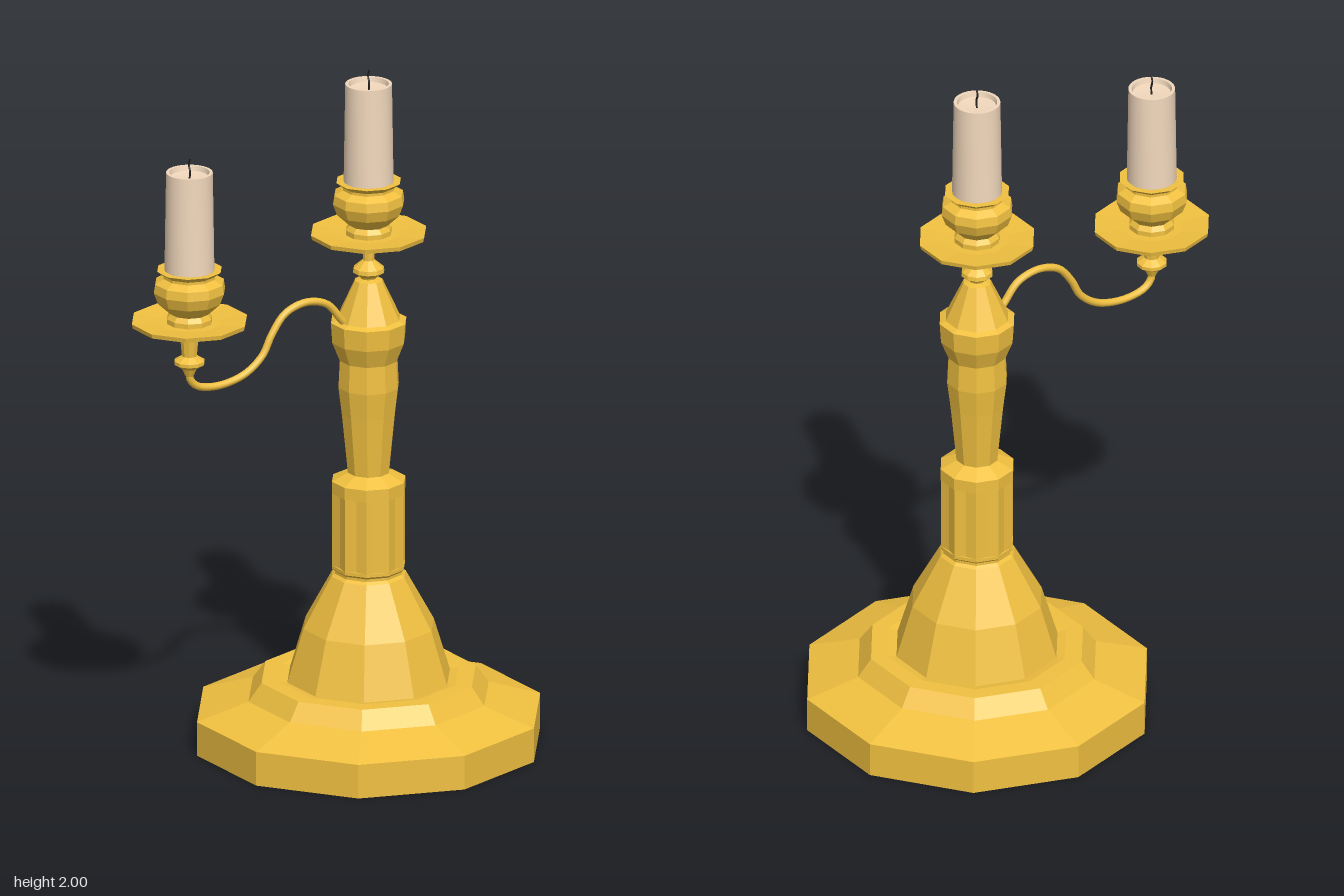
import * as THREE from 'three';
import { toCreasedNormals } from 'three/addons/utils/BufferGeometryUtils.js';

const brass = new THREE.MeshStandardMaterial({ color: 0xf0c040, flatShading: true });
const brassSmooth = new THREE.MeshStandardMaterial({ color: 0xf0c040 });
const wax = new THREE.MeshStandardMaterial({ color: 0xf2d8bc });
const char = new THREE.MeshStandardMaterial({ color: 0x222222 });

const SIDES = 10;
const MAIN_X = 0.14, ARM_X = -0.46;

function mesh(name, geometry, material) {
  const m = new THREE.Mesh(geometry, material);
  m.name = name;
  return m;
}

// Profile of [radius, height] pairs, bottom to top
function lathe(profile, sides = SIDES) {
  return new THREE.LatheGeometry(profile.map(([r, y]) => new THREE.Vector2(r, y)), sides);
}

// Column whose faces are each pressed in to a shallow flute
function flutedColumn(y0, y1, radius) {
  const shape = new THREE.Shape();
  for (let i = 0; i < SIDES * 4; i++) {
    const a = (i / (SIDES * 4)) * Math.PI * 2 + Math.PI / 2;
    const r = radius * [1, 0.935, 0.9, 0.935][i % 4];
    shape[i ? 'lineTo' : 'moveTo'](r * Math.cos(a), r * Math.sin(a));
  }
  shape.closePath();
  const g = new THREE.ExtrudeGeometry(shape, { depth: y1 - y0, bevelEnabled: false });
  return g.rotateX(-Math.PI / 2).translate(0, y0, 0);
}

// Drip pan, cup, candle and wick; y = 0 is the underside of the pan
function candleHolder(name) {
  const g = new THREE.Group();
  g.name = name;
  g.add(mesh('dripPan', lathe([
    [0, 0], [0.03, 0], [0.09, 0.018], [0.165, 0.042], [0.168, 0.055], [0.09, 0.048], [0, 0.048],
  ]), brass));
  g.add(mesh('candleCup', lathe([
    [0.066, 0.046], [0.066, 0.062], [0.056, 0.076], [0.092, 0.11], [0.104, 0.142],
    [0.1, 0.168], [0.075, 0.182], [0.075, 0.19], [0.094, 0.205], [0.074, 0.205], [0, 0.185],
  ]), brass));
  g.add(mesh('candle', toCreasedNormals(lathe([
    [0, 0.17], [0.071, 0.17], [0.066, 0.494], [0.057, 0.494], [0.054, 0.48], [0, 0.475],
  ], 32), 0.6), wax));
  const wickPath = new THREE.CatmullRomCurve3([
    new THREE.Vector3(0, 0.47, 0), new THREE.Vector3(0, 0.497, 0.003),
    new THREE.Vector3(0, 0.517, -0.003), new THREE.Vector3(0, 0.535, 0.003),
  ]);
  g.add(mesh('wick', new THREE.TubeGeometry(wickPath, 8, 0.003, 6), char));
  return g;
}

export function createModel() {
  const model = new THREE.Group();
  model.name = 'candelabrum';

  // Central stand
  const stand = new THREE.Group();
  stand.name = 'stand';
  stand.position.x = MAIN_X;
  stand.add(mesh('base', lathe([
    [0, 0], [0.5, 0], [0.5, 0.1], [0.35, 0.148], [0.312, 0.2], [0.262, 0.2], [0.237, 0.195],
    [0.19, 0.35], [0.108, 0.5], [0.098, 0.507], [0.098, 0.515], [0.106, 0.522], [0.106, 0.532], [0, 0.532],
  ]), brass));
  stand.add(mesh('flutedColumn', flutedColumn(0.53, 0.75, 0.106), brass));
  stand.add(mesh('columnCollar', lathe([
    [0, 0.747], [0.107, 0.747], [0.107, 0.782], [0.06, 0.805], [0, 0.805],
  ]), brass));
  stand.add(mesh('shaft', lathe([
    [0.06, 0.8], [0.078, 0.98], [0.088, 1.06], [0.084, 1.14], [0.106, 1.195],
    [0.11, 1.255], [0.092, 1.262], [0.04, 1.375], [0.022, 1.38], [0.024, 1.385],
    [0.046, 1.4], [0.044, 1.412], [0.017, 1.435], [0.017, 1.47],
  ]), brass));
  const top = candleHolder('centreHolder');
  top.position.y = 1.465;
  stand.add(top);
  model.add(stand);

  // Side holder on its short stem
  const side = new THREE.Group();
  side.name = 'sideBranch';
  side.position.x = ARM_X;
  side.add(mesh('stem', lathe([
    [0, 1.195], [0.012, 1.2], [0.022, 1.222], [0.044, 1.236], [0.044, 1.246],
    [0.022, 1.26], [0.027, 1.315], [0.035, 1.32],
  ]), brass));
  const holder = candleHolder('sideHolder');
  holder.position.y = 1.312;
  side.add(holder);
  model.add(side);

  // S-shaped arm
  const path = new THREE.CatmullRomCurve3([
    [0.08, 1.235], [0.045, 1.277], [0, 1.328], [-0.07, 1.346], [-0.14, 1.325], [-0.185, 1.27],
    [-0.215, 1.215], [-0.275, 1.17], [-0.365, 1.152], [-0.435, 1.165], [-0.458, 1.19], [ARM_X, 1.22],
  ].map(([x, y]) => new THREE.Vector3(x, y, 0)));
  model.add(mesh('arm', new THREE.TubeGeometry(path, 48, 0.011, 10), brassSmooth));

  return model;
}
